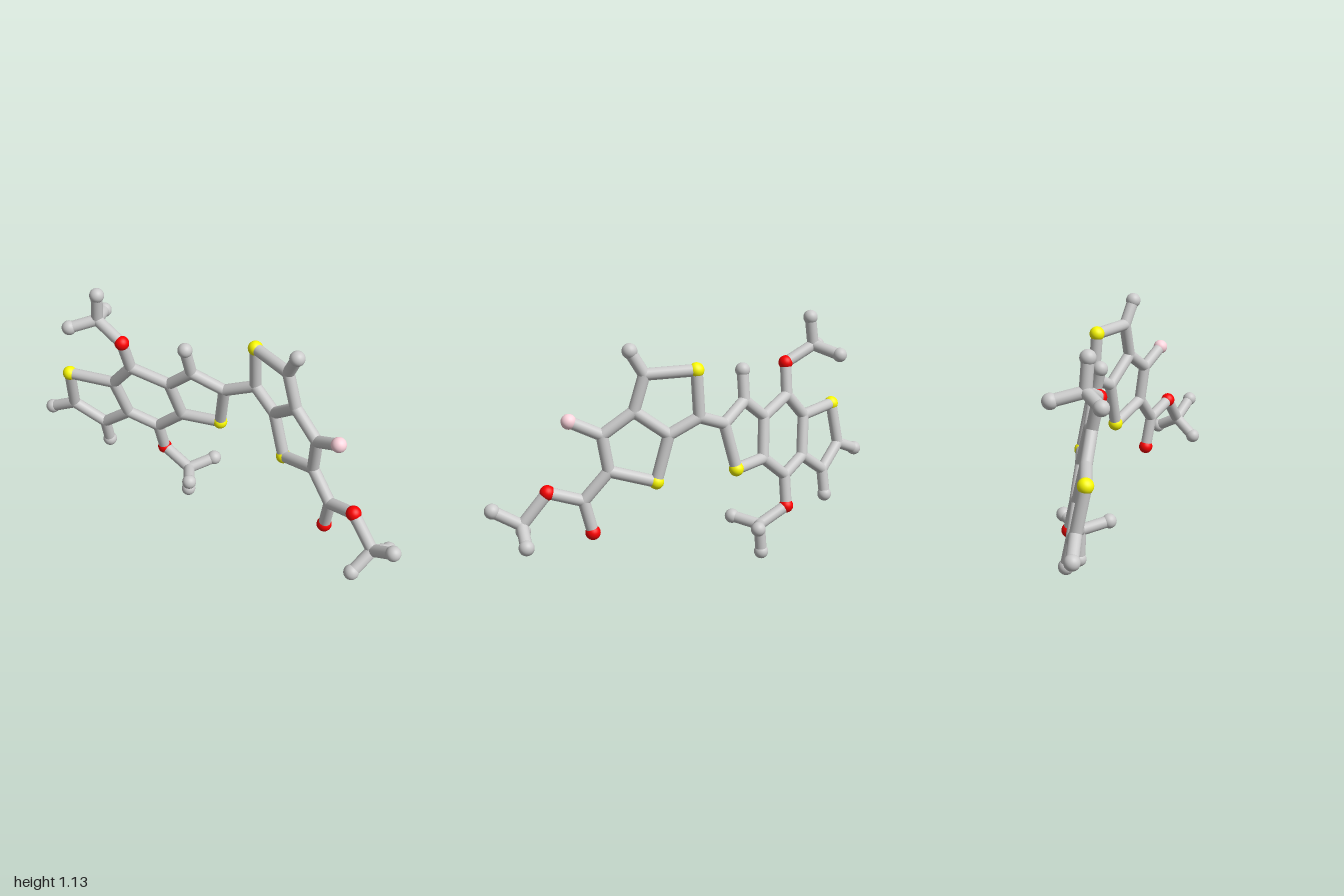
import * as THREE from 'three';

const STICK = 0.027, BALL = 0.034;

// The two flat ring systems each lie in a tilted plane: z = a + b*x + c*y
const leftPlane = (x, y) => [x, y, -0.273 - 0.268 * x + 0.211 * y];
const rightPlane = (x, y) => [x, y, -0.213 + 0.366 * x + 0.057 * y];

const joint = {
  // left fused rings
  a1: leftPlane(-0.60, 0.625), a2: leftPlane(-0.56, 0.44), a3: leftPlane(-0.70, 0.335),
  a4: leftPlane(-0.84, 0.43), a5: leftPlane(-0.495, 0.745), a6: leftPlane(-0.32, 0.685),
  a7: leftPlane(-0.285, 0.50), a8: leftPlane(-0.42, 0.385), a9: leftPlane(-0.20, 0.785),
  a10: leftPlane(-0.055, 0.715),
  // right fused rings
  b1: rightPlane(0.095, 0.78), b2: rightPlane(0.315, 0.985), b3: rightPlane(0.365, 0.825),
  b4: rightPlane(0.225, 0.71), b5: rightPlane(0.48, 0.565), b6: rightPlane(0.50, 0.73),
  b7: rightPlane(0.59, 0.44),
  // centres of the three end groups
  m1: [-0.66, 0.96, 0.038], m2: [-0.26, 0.175, -0.105], m3: [0.85, 0.355, 0.11],
};

const sulfur = {
  s1: leftPlane(-0.82, 0.63), s2: leftPlane(-0.10, 0.50),
  s3: rightPlane(0.10, 0.99), s4: rightPlane(0.285, 0.50),
};

const oxygen = {
  o1: leftPlane(-0.51, 0.892), o2: leftPlane(-0.41, 0.24),
  o3: rightPlane(0.56, 0.29), o4: rightPlane(0.735, 0.49),
};

const fluorine = { f1: rightPlane(0.63, 0.80) };

const hydrogen = {
  h1: leftPlane(-0.967, 0.37), h2: leftPlane(-0.70, 0.212), h3: leftPlane(-0.21, 0.92),
  h4: rightPlane(0.37, 1.09),
  h5: [-0.645, 1.095, 0.045], h6: [-0.755, 0.93, 0.127], h7: [-0.72, 0.93, -0.09],
  h8: [-0.27, 0.035, -0.11], h9: [-0.18, 0.197, 0.008], h10: [-0.18, 0.207, -0.207],
  h11: [0.965, 0.43, 0.155], h12: [0.805, 0.28, 0.205], h13: [0.88, 0.295, 0.004],
};

// Chains of connected atoms; each neighbouring pair gets a stick
const chains = {
  leftRings: [
    'a1 a2 a8 a7 a6 a5 a1', 'a1 s1 a4 a3 a2', 'a6 a9 a10 s2 a7', 'a4 h1', 'a3 h2', 'a9 h3',
  ],
  ringLink: ['a10 b1'],
  rightRings: ['b1 s3 b2 b3 b4 b1', 'b4 s4 b5 b6 b3', 'b2 h4', 'b6 f1'],
  upperSideGroup: ['a5 o1 m1 h5', 'm1 h6', 'm1 h7'],
  lowerSideGroup: ['a8 o2 m2 h8', 'm2 h9', 'm2 h10'],
  rightEndGroup: ['b5 b7 o4 m3 h11', 'b7 o3', 'm3 h12', 'm3 h13'],
};

export function createModel() {
  const model = new THREE.Group();
  model.name = 'ballAndStickMolecule';

  const material = (color) => new THREE.MeshStandardMaterial({ color });
  const grey = material(0xcccccc);
  const position = {};

  // Balls, one group per kind of atom
  const addBalls = (name, atoms, radius, mat) => {
    const group = new THREE.Group();
    group.name = name + 's';
    const geometry = new THREE.SphereGeometry(radius, 24, 16);
    for (const [key, p] of Object.entries(atoms)) {
      const ball = new THREE.Mesh(geometry, mat);
      ball.name = name;
      ball.position.set(...p);
      position[key] = ball.position;
      group.add(ball);
    }
    model.add(group);
  };
  addBalls('carbonJoint', joint, STICK, grey);
  addBalls('sulfurBall', sulfur, BALL, material(0xffff00));
  addBalls('oxygenBall', oxygen, BALL, material(0xff0000));
  addBalls('fluorineBall', fluorine, BALL, material(0xffd5de));
  addBalls('hydrogenBall', hydrogen, BALL, grey);

  // Sticks, one group per region of the molecule
  const up = new THREE.Vector3(0, 1, 0);
  const stickGeometry = new THREE.CylinderGeometry(STICK, STICK, 1, 20);
  for (const [name, list] of Object.entries(chains)) {
    const group = new THREE.Group();
    group.name = name;
    for (const chain of list) {
      const keys = chain.split(' ');
      for (let i = 1; i < keys.length; i++) {
        const from = position[keys[i - 1]], to = position[keys[i]];
        const along = to.clone().sub(from);
        const stick = new THREE.Mesh(stickGeometry, grey);
        stick.name = 'bondStick';
        stick.scale.y = along.length();
        stick.position.copy(from).addScaledVector(along, 0.5);
        stick.quaternion.setFromUnitVectors(up, along.normalize());
        group.add(stick);
      }
    }
    model.add(group);
  }
  return model;
}
